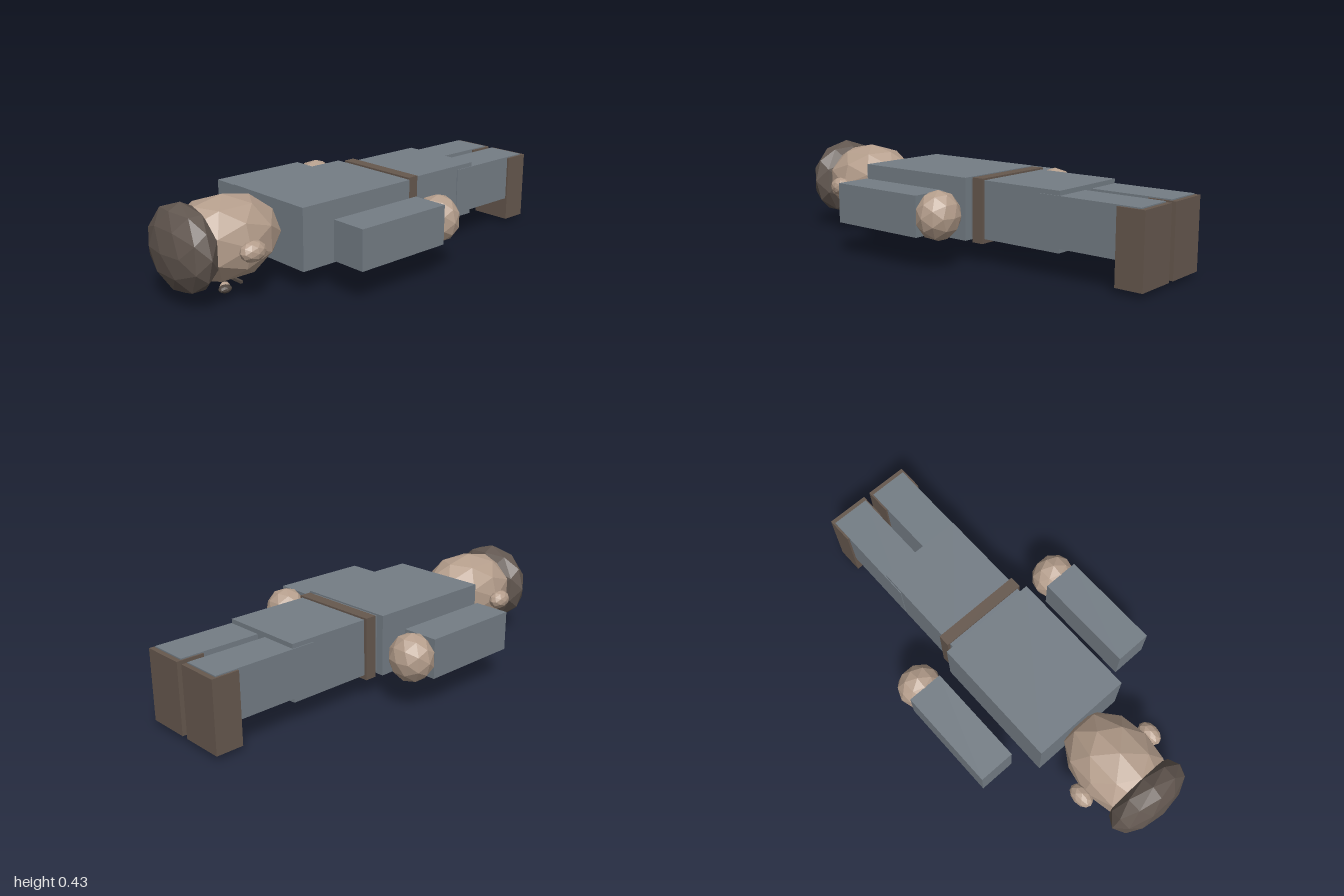
import * as THREE from 'three';

const paint = (name, color) => {
  const m = new THREE.MeshStandardMaterial({ color });
  m.name = name;
  return m;
};

export function createModel() {
  const cloth = paint('slate cloth', 0x747d85);
  const leather = paint('brown leather', 0x66584e);
  const hairBrown = paint('dark brown hair', 0x61564f);
  const skin = paint('skin', 0xb59e8c);
  const dark = paint('dark features', 0x4f4640);

  const root = new THREE.Group();
  root.name = 'lyingFigure';

  const add = (name, geometry, material) => {
    const mesh = new THREE.Mesh(geometry, material);
    mesh.name = name;
    root.add(mesh);
    return mesh;
  };

  // Box given by its limits on each axis
  const box = (name, material, [x0, x1], [y0, y1], [z0, z1]) => {
    const g = new THREE.BoxGeometry(x1 - x0, y1 - y0, z1 - z0);
    add(name, g, material).position.set((x0 + x1) / 2, (y0 + y1) / 2, (z0 + z1) / 2);
  };

  // Faceted ball, turned with the lying body, stretched to three radii
  const ball = (name, material, centre, radii) => {
    const g = new THREE.IcosahedronGeometry(1, 1);
    g.rotateX(Math.PI / 2);
    g.scale(...radii);
    g.computeVertexNormals();
    add(name, g, material).position.set(...centre);
  };

  // Trunk, lying face down with the head towards +z
  box('torso', cloth, [-0.236, 0.236], [0.097, 0.372], [-0.138, 0.477]);
  box('hips', cloth, [-0.2, 0.2], [0.11, 0.365], [-0.605, -0.13]);
  box('belt', leather, [-0.213, 0.213], [0.09, 0.373], [-0.213, -0.158]);

  // Head and face
  ball('head', skin, [0, 0.243, 0.702], [0.19, 0.182, 0.258]);
  ball('hair', hairBrown, [0, 0.242, 0.895], [0.206, 0.19, 0.102]);
  ball('nose', skin, [0, 0.024, 0.705], [0.022, 0.024, 0.023]);
  box('mouth', dark, [-0.037, 0.037], [0.034, 0.046], [0.639, 0.651]);

  // Paired parts
  for (const s of [1, -1]) {
    const side = s > 0 ? 'left' : 'right';
    const span = (a, b) => (s > 0 ? [a, b] : [-b, -a]);
    ball(side + 'Ear', skin, [s * 0.206, 0.236, 0.705], [0.041, 0.044, 0.06]);
    ball(side + 'Eye', dark, [s * 0.074, 0.052, 0.754], [0.024, 0.017, 0.03]);
    box(side + 'Arm', cloth, span(0.322, 0.49), [0.147, 0.324], [-0.09, 0.386]);
    ball(side + 'Hand', skin, [s * 0.407, 0.235, -0.139], [0.103, 0.108, 0.094]);
    box(side + 'Leg', cloth, span(0.023, 0.204), [0.13, 0.345], [-0.978, -0.5]);
    box(side + 'Shoe', leather, span(0.016, 0.213), [0.022, 0.34], [-1, -0.876]);
  }
  return root;
}
